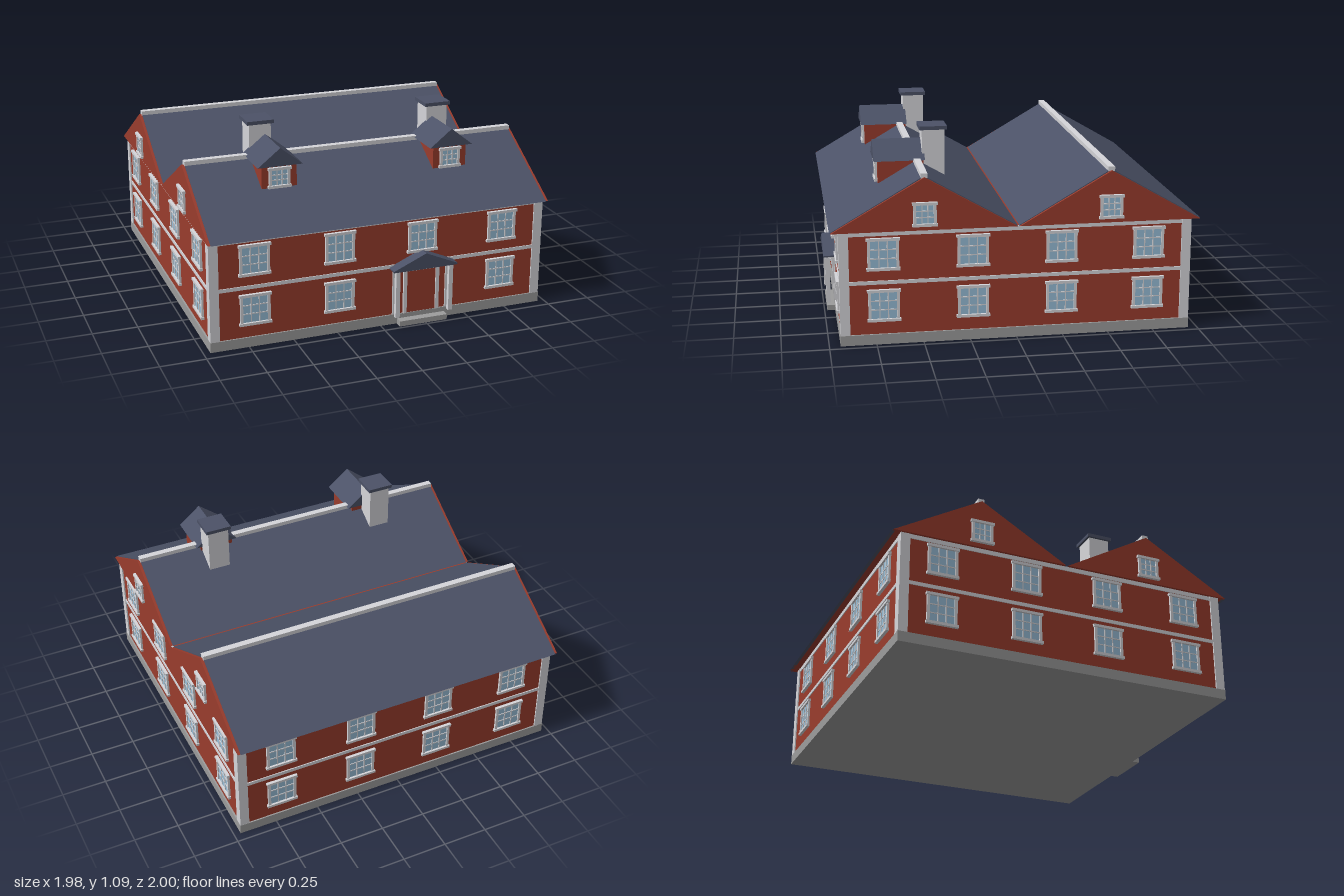
import * as THREE from 'three';

const mat = (name, color) => {
  const m = new THREE.MeshStandardMaterial({ color });
  m.name = name;
  return m;
};

export function createModel() {
  const red = mat('red wall', 0x9a3c2d);
  const white = mat('pale trim', 0xd6d6da);
  const slate = mat('slate roof', 0x4c5267);
  const glass = mat('window glass', 0x98bed8);
  const stone = mat('stone plinth', 0x9c9c9c);

  const house = new THREE.Group();
  house.name = 'house';
  const ZC = -0.005; // centre of the walls in z
  const HX = 0.953, HZ = 0.938; // half sizes of the walls

  // Box given by its limits
  function box(name, m, x0, x1, y0, y1, z0, z1, parent = house) {
    const mesh = new THREE.Mesh(new THREE.BoxGeometry(x1 - x0, y1 - y0, z1 - z0), m);
    mesh.position.set((x0 + x1) / 2, (y0 + y1) / 2, (z0 + z1) / 2);
    mesh.name = name;
    parent.add(mesh);
    return mesh;
  }

  // Outline extruded to a length, centred, along z or along x
  function prism(name, m, points, length, alongX = false) {
    const shape = new THREE.Shape(points.map(([x, y]) => new THREE.Vector2(x, y)));
    const geo = new THREE.ExtrudeGeometry(shape, { depth: length, bevelEnabled: false });
    geo.translate(0, 0, -length / 2);
    if (alongX) geo.rotateY(Math.PI / 2);
    const mesh = new THREE.Mesh(geo, m);
    mesh.name = name;
    house.add(mesh);
    return mesh;
  }

  // Framed window facing +z, its back at z = 0
  function makeWindow(w, h) {
    const g = new THREE.Group();
    g.name = 'window';
    const t = 0.015, a = w / 2, b = h / 2, d = 0.012;
    box('glass', glass, -a + t, a - t, -b + t, b - t, 0, 0.005, g);
    for (const s of [-1, 1]) {
      const x = s * (a - t / 2), y = s * (b - t / 2);
      box('frameSide', white, x - t / 2, x + t / 2, -b, b, 0, d, g);
      box('frameRail', white, -a - 0.006, a + 0.006, y - t / 2, y + t / 2, 0, d + 0.005, g);
    }
    for (const s of [-1, 1]) {
      const x = s * (a - t) / 3, y = s * (b - t) / 3;
      box('mullion', white, x - 0.003, x + 0.003, -b + t, b - t, 0, 0.009, g);
      box('glazingBar', white, -a + t, a - t, y - 0.003, y + 0.003, 0, 0.008, g);
    }
    return g;
  }
  function addWindow(w, h, x, y, z, turn = 0) {
    const g = makeWindow(w, h);
    g.position.set(x, y, z);
    g.rotation.y = turn;
    house.add(g);
  }

  // Plinth, walls and horizontal trim
  box('plinth', stone, -0.963, 0.963, 0, 0.056, ZC - 0.946, ZC + 0.946);
  box('walls', red, -HX, HX, 0.05, 0.62, ZC - HZ, ZC + HZ);
  for (const [name, y0, y1] of [['middleBand', 0.33, 0.35], ['frieze', 0.594, 0.619]]) {
    box(name, white, -HX - 0.005, HX + 0.005, y0, y1, ZC - HZ - 0.005, ZC + HZ + 0.005);
  }

  // Corner pilasters
  for (const sx of [-1, 1]) for (const sz of [-1, 1]) {
    const p = box('cornerPilaster', white, -0.026, 0.026, 0.056, 0.618, -0.026, 0.026);
    p.position.x = sx * 0.935;
    p.position.z = ZC + sz * 0.919;
  }

  // Windows in two storeys on all four sides
  for (const y of [0.215, 0.495]) {
    for (const c of [-0.713, -0.239, 0.237, 0.711]) {
      const doorway = y < 0.3 && c > 0.2 && c < 0.3;
      if (!doorway) addWindow(0.166, 0.176, c, y, ZC + HZ);
      addWindow(0.166, 0.176, c, y, ZC - HZ, Math.PI);
      addWindow(0.166, 0.176, HX, y, c - 0.003, Math.PI / 2);
      addWindow(0.166, 0.176, -HX, y, c - 0.003, -Math.PI / 2);
    }
  }

  // Twin gabled roofs with ridges along x
  for (const z of [0.489, -0.504]) {
    prism('gable', red, [[-0.49, 0.618], [0.49, 0.618], [0, 0.9]], 1.944, true).position.z = z;
    prism('roof', slate,
      [[-0.496, 0.618], [-0.478, 0.618], [0, 0.893], [0.478, 0.618], [0.496, 0.618], [0, 0.906]],
      1.914, true).position.z = z;
    box('ridgeCap', white, -0.96, 0.96, 0.894, 0.919, z - 0.018, z + 0.018);
    for (const s of [-1, 1]) addWindow(0.122, 0.13, s * 0.972, 0.706, z, s * Math.PI / 2);
  }

  // Dormers and chimneys
  for (const s of [-1, 1]) {
    const x = s * 0.495;
    box('dormer', red, x - 0.098, x + 0.098, 0.785, 0.912, 0.45, 0.7);
    const top = prism('dormerRoof', slate, [[-0.126, 0.91], [0.126, 0.91], [0, 1.01]], 0.277);
    top.position.set(x, 0, 0.584);
    addWindow(0.118, 0.115, x, 0.843, 0.7);
    const cx = s * 0.523;
    box('chimney', white, cx - 0.062, cx + 0.062, 0.75, 1.07, 0.335, 0.458);
    box('chimneyCap', slate, cx - 0.075, cx + 0.075, 1.07, 1.09, 0.322, 0.472);
  }

  // Front door with porch
  const px = 0.235;
  box('door', red, px - 0.086, px + 0.086, 0.056, 0.302, 0.92, 0.938);
  for (const s of [-1, 1]) {
    const x = px + s * 0.095;
    box('doorFrame', white, x - 0.01, x + 0.01, 0.056, 0.325, 0.92, 0.946);
    const c = px + s * 0.156;
    box('porchColumn', white, c - 0.012, c + 0.012, 0.056, 0.332, 0.965, 0.988);
    box('wallPost', white, c - 0.012, c + 0.012, 0.056, 0.332, 0.925, 0.94);
  }
  box('doorLintel', white, px - 0.105, px + 0.105, 0.302, 0.325, 0.92, 0.946);
  prism('porchRoof', slate,
    [[-0.187, 0.328], [0.187, 0.328], [0.187, 0.336], [0, 0.418], [-0.187, 0.336]], 0.07)
    .position.set(px, 0, 0.965);
  box('doorStep', stone, px - 0.14, px + 0.14, 0, 0.03, 0.93, 0.985);

  return house;
}
